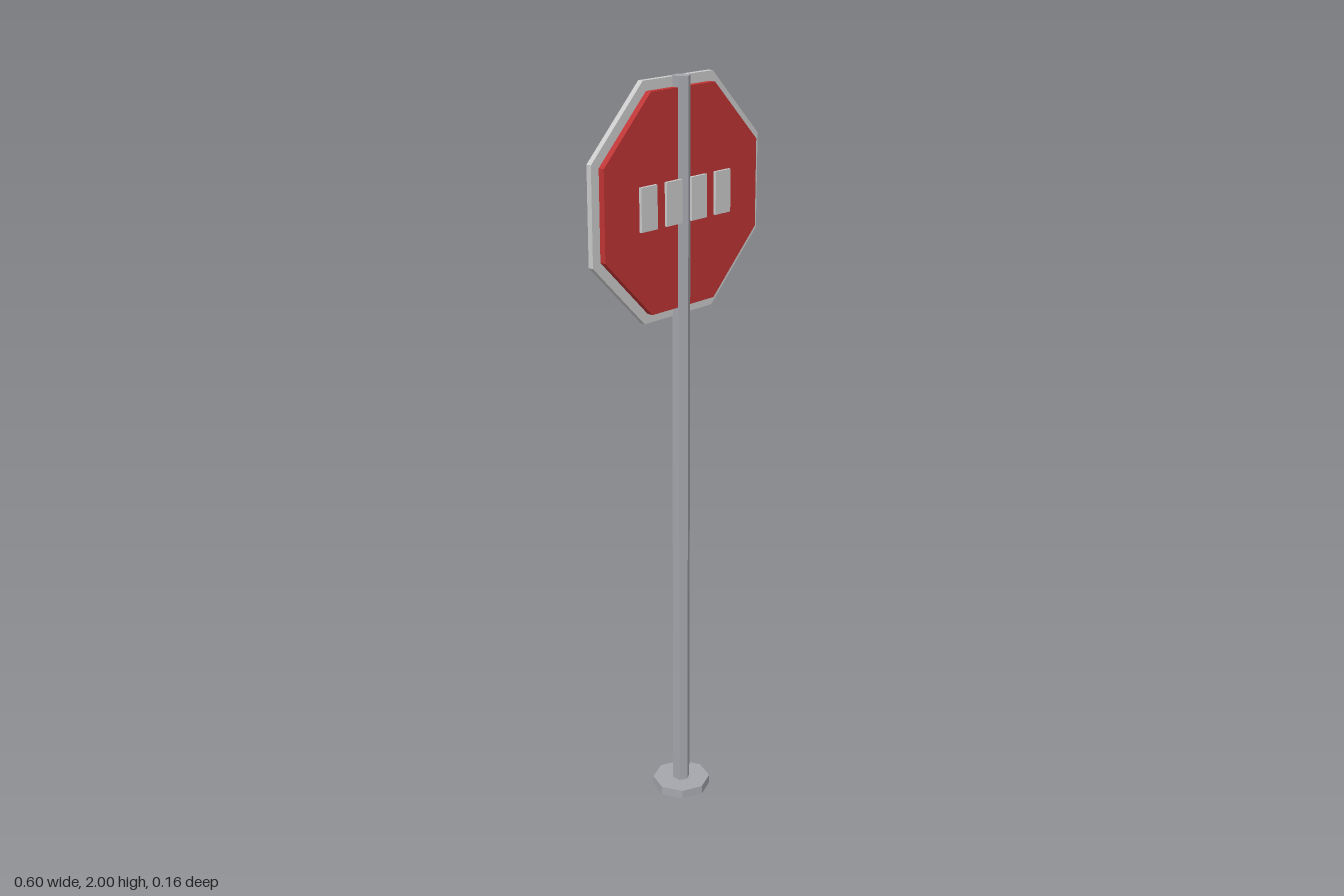
import * as THREE from 'three';

export function createModel() {
  const group = new THREE.Group();
  group.name = 'octagonalRoadSign';

  const material = (color) => new THREE.MeshStandardMaterial({ color, flatShading: true });
  const grey = material(0xcccccc);
  const steel = material(0xa5a6ad);
  const red = material(0xbf3434);

  const add = (name, geometry, mat, x, y, z) => {
    const mesh = new THREE.Mesh(geometry, mat);
    mesh.name = name;
    mesh.position.set(x, y, z);
    group.add(mesh);
  };

  // Upright octagonal plate with flat top and sides, between two depths
  const plate = (name, halfWidth, back, front, mat) => {
    const radius = halfWidth / Math.cos(Math.PI / 8);
    const geometry = new THREE.CylinderGeometry(radius, radius, front - back, 8);
    geometry.rotateY(Math.PI / 8).rotateX(Math.PI / 2);
    add(name, geometry, mat, 0, 1.698, (front + back) / 2);
  };

  // Foot and hexagonal post
  add('base', new THREE.CylinderGeometry(0.08, 0.08, 0.025, 8), steel, 0, 0.0125, -0.001);
  add('post', new THREE.CylinderGeometry(0.024, 0.024, 1.99, 6), steel, 0, 1.005, -0.001);

  // Pale backing plate with the smaller red face in front
  plate('signBacking', 0.3, -0.025, -0.01, grey);
  plate('signFace', 0.275, -0.01, 0.007, red);

  // Four evenly spaced blocks across the face
  for (let i = 0; i < 4; i++) {
    add('faceBlock' + (i + 1), new THREE.BoxGeometry(0.056, 0.11, 0.008), grey, (i - 1.5) * 0.0893, 1.697, 0.0155);
  }

  return group;
}
